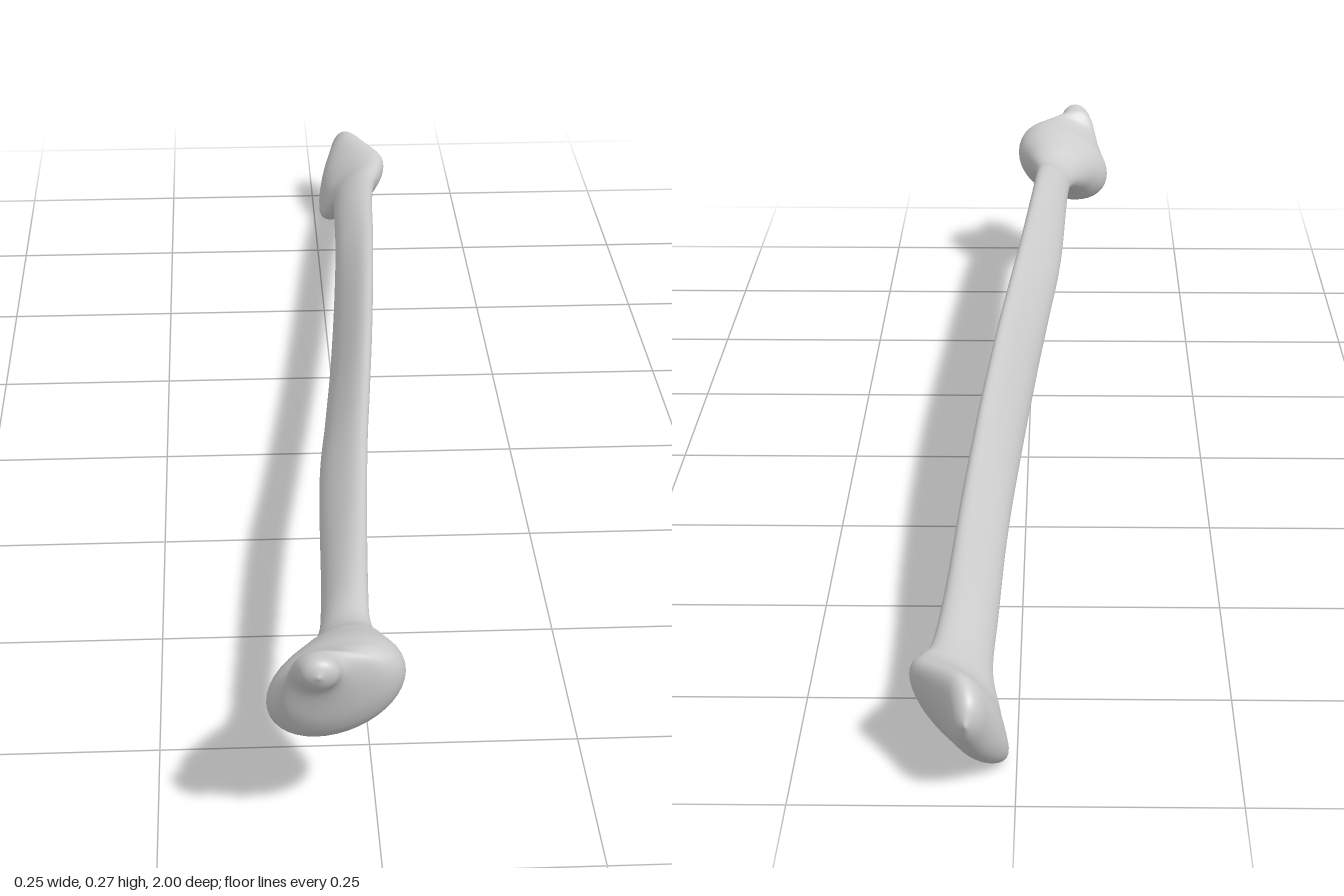
import * as THREE from 'three';
import { mergeVertices } from 'three/addons/utils/BufferGeometryUtils.js';

// Cross-sections from head to ankle end: z, x min, x max, y min, y max, skew
const SECTIONS = [
  [1.0, -0.07, -0.07, 0.257, 0.257, 0],
  [0.99, -0.088, -0.05, 0.238, 0.273, 0],
  [0.965, -0.099, -0.038, 0.215, 0.27, 0],
  [0.948, -0.11, 0.005, 0.165, 0.26, 0.2],
  [0.93, -0.119, 0.025, 0.138, 0.257, 0.3],
  [0.9, -0.124, 0.029, 0.124, 0.251, 0.3],
  [0.86, -0.095, 0.014, 0.148, 0.236, 0.3],
  [0.81, -0.066, -0.002, 0.168, 0.219, 0.4],
  [0.72, -0.056, -0.001, 0.17, 0.226, 0.5],
  [0.4, -0.043, 0.018, 0.153, 0.219, 0.6],
  [0.2, -0.027, 0.033, 0.135, 0.209, 0.65],
  [0.0, -0.011, 0.048, 0.117, 0.198, 0.65],
  [-0.25, 0.006, 0.065, 0.101, 0.178, 0.6],
  [-0.5, 0.02, 0.08, 0.088, 0.15, 0.5],
  [-0.7, 0.026, 0.09, 0.069, 0.127, 0.5],
  [-0.81, 0.029, 0.1, 0.052, 0.113, 0.55],
  [-0.855, 0.018, 0.114, 0.02, 0.117, 0.7],
  [-0.89, 0.006, 0.12, 0.002, 0.126, 0.7],
  [-0.925, 0.008, 0.1, 0.013, 0.134, 0.6],
  [-0.96, 0.026, 0.079, 0.042, 0.139, 0.3],
  [-0.987, 0.038, 0.068, 0.073, 0.124, 0],
  [-1.0, 0.054, 0.054, 0.098, 0.098, 0],
];
const AROUND = 40, ALONG = 168;

// Skewed oval with three soft ridges on the shaft
function ringPoint(centre, size, t) {
  const shaft = 1 - THREE.MathUtils.smoothstep(Math.abs(centre.z), 0.45, 0.8);
  const hollow = Math.exp(-(((centre.z + 0.9) / 0.035) ** 2)) * Math.exp(-(((t - 2.9) / 0.45) ** 2));
  const r = 1 + 0.07 * shaft * Math.cos(3 * t - 2.4) - 0.14 * hollow;
  return [
    centre.x + r * size.x * Math.cos(t),
    centre.y + r * size.y * Math.sin(t + size.z),
    centre.z,
  ];
}

function boneGeometry() {
  const spline = (pick) => new THREE.CatmullRomCurve3(
    SECTIONS.map((s) => new THREE.Vector3(...pick(s))), false, 'catmullrom', 0.5);
  const centres = spline(([z, x0, x1, y0, y1]) => [(x0 + x1) / 2, (y0 + y1) / 2, z]);
  const sizes = spline(([, x0, x1, y0, y1, skew]) => [(x1 - x0) / 2, (y1 - y0) / 2, skew]);

  const positions = [], index = [];
  for (let i = 0; i <= ALONG; i++) {
    const c = centres.getPoint(i / ALONG), s = sizes.getPoint(i / ALONG);
    for (let j = 0; j < AROUND; j++) {
      positions.push(...ringPoint(c, s, (j / AROUND) * Math.PI * 2));
      if (i === ALONG) continue;
      const a = i * AROUND + j, b = i * AROUND + ((j + 1) % AROUND);
      index.push(a, a + AROUND, b, b, a + AROUND, b + AROUND);
    }
  }
  let geometry = new THREE.BufferGeometry();
  geometry.setAttribute('position', new THREE.Float32BufferAttribute(positions, 3));
  geometry.setIndex(index);
  geometry = mergeVertices(geometry, 1e-5);
  geometry.computeVertexNormals();
  return geometry;
}

export function createModel() {
  const model = new THREE.Group();
  model.name = 'legBone';
  // Head, shaft and ankle end are one continuous surface
  const bone = new THREE.Mesh(boneGeometry(), new THREE.MeshStandardMaterial({ color: 0xcccccc }));
  bone.name = 'boneHeadShaftAndAnkleEnd';
  model.add(bone);
  return model;
}
